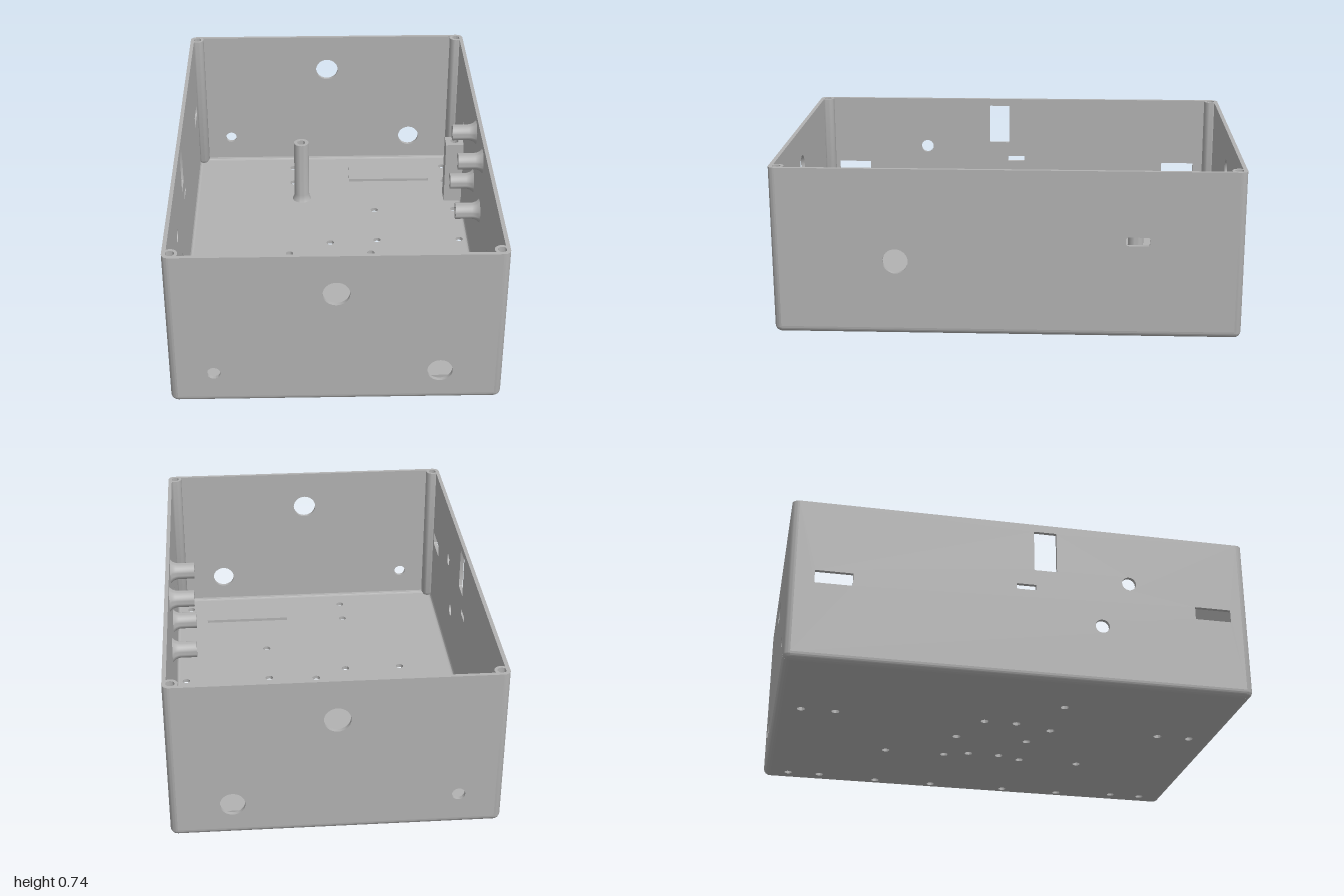
import * as THREE from 'three';
import { toCreasedNormals } from 'three/addons/utils/BufferGeometryUtils.js';

const HX = 0.695, HZ = 1, H = 0.735; // half width, half depth, height
const T = 0.017, R = 0.03;           // wall thickness, outer edge radius

const grey = new THREE.MeshStandardMaterial({ color: 0xb2b2b2 });
grey.name = 'grey plastic';

function part(name, geometry, parent) {
  const mesh = new THREE.Mesh(toCreasedNormals(geometry, 0.6), grey);
  mesh.name = name;
  parent.add(mesh);
  return mesh;
}

const extrude = (shape, depth) =>
  new THREE.ExtrudeGeometry(shape, { depth, bevelEnabled: false, curveSegments: 16 });

// Outlines used as cut-outs
const circle = (x, y, r) => new THREE.Path().absarc(x, y, r, 0, Math.PI * 2, true);

function slot(x, y, w, h, r = 0.004) {
  const a = w / 2 - r, b = h / 2 - r, q = Math.PI / 2;
  return new THREE.Path()
    .absarc(x + a, y + b, r, 0, q)
    .absarc(x - a, y + b, r, q, 2 * q)
    .absarc(x - a, y - b, r, 2 * q, 3 * q)
    .absarc(x + a, y - b, r, 3 * q, 4 * q);
}

function rectangle(x0, y0, x1, y1) {
  return new THREE.Shape([[x0, y0], [x1, y0], [x1, y1], [x0, y1]].map(p => new THREE.Vector2(...p)));
}

const lathe = (points, segments = 32, start = 0, length = Math.PI * 2) =>
  new THREE.LatheGeometry(points.map(p => new THREE.Vector2(...p)), segments, start, length);

// One side: flat panel with cut-outs and the rounded edge below it
function side(name, halfWidth, distance, angle, holes, parent) {
  const group = new THREE.Group();
  group.name = name;
  group.rotation.y = angle;
  parent.add(group);
  const w = halfWidth - R;

  const shape = rectangle(-w, R, w, H);
  shape.holes.push(...holes);
  part(name + 'Panel', extrude(shape, T).translate(0, 0, distance - T), group);

  const edge = new THREE.Shape()
    .absarc(0, 0, R, -Math.PI / 2, 0, false)
    .absarc(0, 0, R - T, 0, -Math.PI / 2, true);
  part(name + 'BottomEdge',
    extrude(edge, 2 * w).rotateY(-Math.PI / 2).translate(w, R, distance - R), group);
}

// Hollow standoff flared at its foot
function standoff(height, radius, bore, foot, depth) {
  return lathe([
    [foot, 0], [radius + (foot - radius) * 0.4, 0.012], [radius + (foot - radius) * 0.1, 0.025],
    [radius, 0.035], [radius, height], [bore, height], [bore, height - depth], [0, height - depth]
  ]);
}

export function createModel() {
  const model = new THREE.Group();
  model.name = 'enclosure';

  // Walls
  const endHoles = s => [
    circle(0, 0.551, 0.056), circle(-0.51 * s, 0.153, 0.028), circle(0.433 * s, 0.153, 0.053)
  ];
  side('frontWall', HX, HZ, 0, endHoles(1), model);
  side('backWall', HX, HZ, Math.PI, endHoles(-1), model);
  side('leftWall', HZ, HX, Math.PI / 2, [
    circle(-0.472, 0.33, 0.054), slot(0.553, 0.43, 0.104, 0.038, 0.012)
  ], model);
  side('rightWall', HZ, HX, -Math.PI / 2, [
    slot(-0.81, 0.38, 0.16, 0.058), slot(0.84, 0.375, 0.16, 0.058),
    slot(0.01, 0.425, 0.085, 0.026), slot(0.095, 0.605, 0.1, 0.19),
    circle(0.34, 0.27, 0.031), circle(0.465, 0.487, 0.031)
  ], model);

  // Floor with screw holes
  const floor = rectangle(-HX + R, -HZ + R, HX - R, HZ - R);
  const screwHoles = [
    [-0.18, -0.885], [-0.18, -0.735], [0.61, -0.885], [0.61, -0.735],
    [0.23, -0.46], [0.635, -0.46], [0.23, -0.185], [0.635, -0.185],
    [0, -0.167], [-0.2, -0.075], [0.195, -0.075], [-0.2, 0.07], [0.195, 0.07], [0, 0.16],
    [0.23, 0.177], [0.635, 0.177], [-0.42, 0.237], [-0.15, 0.237],
    [0.23, 0.455], [0.635, 0.455], [-0.18, 0.73], [-0.18, 0.88], [0.61, 0.73], [0.61, 0.88]
  ];
  floor.holes.push(...screwHoles.map(([x, z]) => circle(x, -z, 0.018)));
  part('floor', extrude(floor, T).rotateX(-Math.PI / 2), model);

  // Rounded corners and their screw columns
  const outer = [], inner = [];
  for (let i = 0; i <= 8; i++) {
    const a = i / 8 * Math.PI / 2, s = Math.sin(a), c = Math.cos(a);
    outer.push([R * s, R - R * c]);
    inner.unshift([(R - T) * s, R - (R - T) * c]);
  }
  const cornerProfile = [...outer, [R, H], [R - T, H], ...inner];
  const columnProfile = [
    [0, 0.012], [0.018, 0.012], [0.032, 0.035], [0.032, H], [0.019, H], [0.019, H - 0.15], [0, H - 0.15]
  ];
  [[1, 1], [1, -1], [-1, -1], [-1, 1]].forEach(([sx, sz], k) => {
    part('corner', lathe(cornerProfile, 8, k * Math.PI / 2, Math.PI / 2), model)
      .position.set(sx * (HX - R), 0, sz * (HZ - R));
    part('cornerScrewColumn', lathe(columnProfile, 24), model)
      .position.set(sx * (HX - 0.033), 0, sz * (HZ - 0.033));
  });

  // Four standoffs on the inside of the left wall
  for (const y of [0.385, 0.65]) {
    for (const z of [-0.132, 0.132]) {
      part('wallStandoff', standoff(0.11, 0.037, 0.017, 0.055, 0.09).rotateZ(Math.PI / 2), model)
        .position.set(HX - T, y, z);
    }
  }

  // Post on the floor and matching square post against the wall
  part('floorPost', standoff(0.328, 0.037, 0.02, 0.047, 0.1), model).position.set(-0.137, T, -0.583);
  const block = rectangle(0.59, 0.54, HX - T, 0.625);
  const blockBase = extrude(block, 0.228).rotateX(-Math.PI / 2);
  part('wallPostBase', blockBase, model).position.y = T;
  block.holes.push(circle(0.635, 0.583, 0.02));
  part('wallPostTop', extrude(block, 0.1).rotateX(-Math.PI / 2), model).position.y = T + 0.228;

  // Raised pads on the floor
  for (const z of [-0.812, 0.808]) {
    part('floorPad', new THREE.BoxGeometry(0.415, 0.014, 0.145), model)
      .position.set(0.318, T + 0.007, z);
  }
  return model;
}
